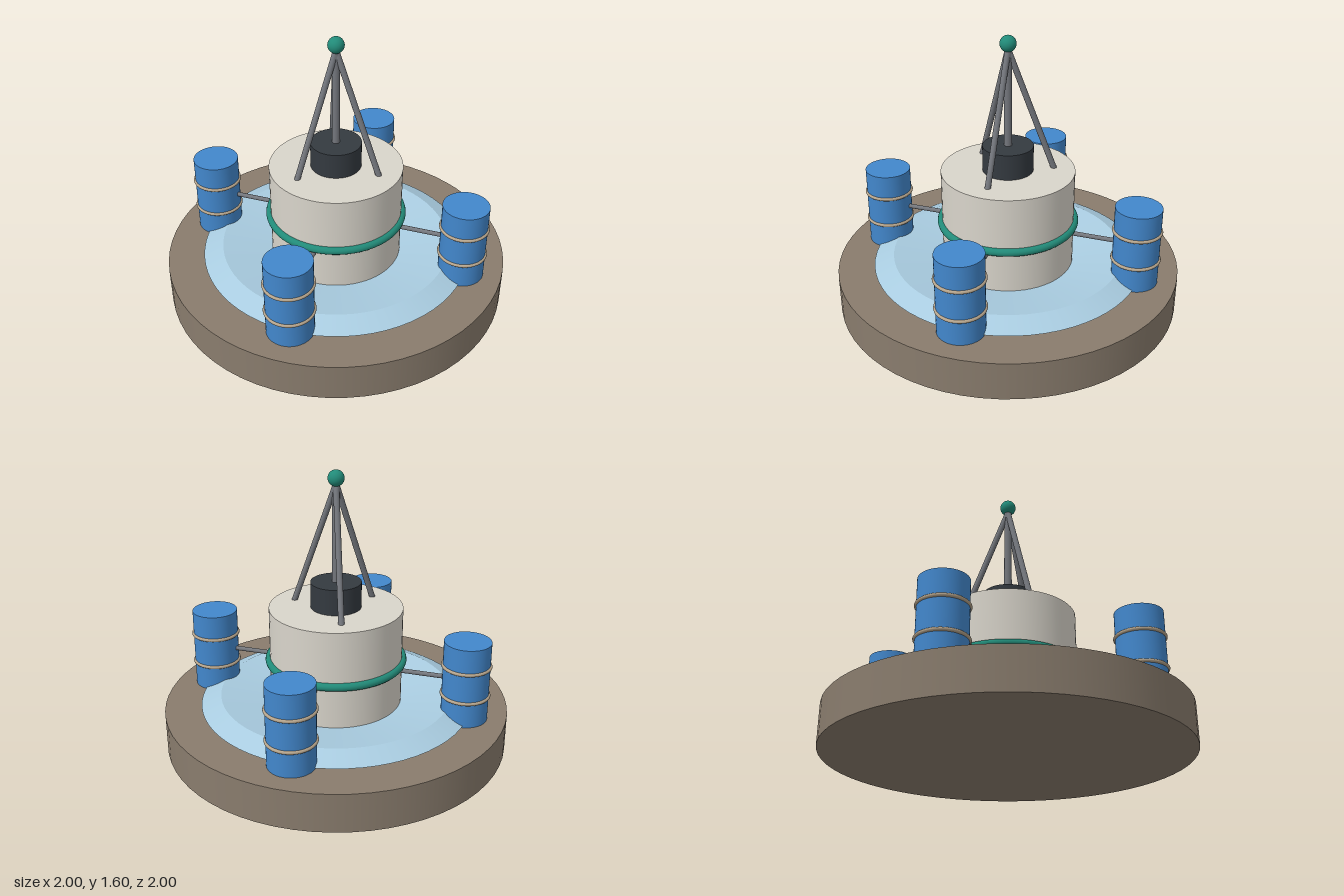
import * as THREE from 'three';

export function createModel() {
  const model = new THREE.Group();
  const mat = (name, color, extra = {}) =>
    Object.assign(new THREE.MeshStandardMaterial({ color, ...extra }), { name });
  const stone = mat('stone brown', 0x897c6d);
  const water = mat('pale blue', 0xa9cce0, { side: THREE.DoubleSide });
  const ivory = mat('ivory', 0xd9d5cb);
  const blue = mat('barrel blue', 0x4287cc);
  const tan = mat('hoop tan', 0xb5a48c);
  const teal = mat('teal', 0x228b79);
  const steel = mat('steel grey', 0x74777d);
  const dark = mat('charcoal', 0x343a40);

  const add = (name, geometry, material, parent = model) => {
    const mesh = new THREE.Mesh(geometry, material);
    mesh.name = name;
    parent.add(mesh);
    return mesh;
  };
  // Upright cylinder between two heights
  const drum = (name, r, y0, y1, material, parent, sides = 64) => {
    const m = add(name, new THREE.CylinderGeometry(r, r, y1 - y0, sides), material, parent);
    m.position.y = (y0 + y1) / 2;
    return m;
  };
  // Horizontal ring
  const ring = (name, r, tube, y, material, parent) => {
    const m = add(name, new THREE.TorusGeometry(r, tube, 12, 64), material, parent);
    m.rotation.x = Math.PI / 2;
    m.position.y = y;
    return m;
  };
  // Round rod between two points
  const rod = (name, a, b, r, parent) => {
    const d = b.clone().sub(a);
    const m = add(name, new THREE.CylinderGeometry(r, r, d.length(), 16), steel, parent);
    m.position.copy(a).addScaledVector(d, 0.5);
    m.quaternion.setFromUnitVectors(new THREE.Vector3(0, 1, 0), d.normalize());
    return m;
  };
  const v = (x, y, z) => new THREE.Vector3(x, y, z);

  // Base and shallow dish: each slope is its own lathe so the rim stays sharp
  drum('base', 1, 0, 0.225, stone);
  const slope = (name, r0, y0, r1, y1) => add(name, new THREE.LatheGeometry(
    [new THREE.Vector2(r0, y0), new THREE.Vector2(r1, y1)], 64), water);
  slope('dishOuterSlope', 0.79, 0.235, 0.675, 0.285);
  slope('dishInnerSlope', 0.675, 0.285, 0.36, 0.234);

  // Central body
  drum('body', 0.383, 0.225, 0.81, ivory);
  ring('bodyRing', 0.387, 0.023, 0.492, teal);
  drum('hub', 0.145, 0.81, 0.96, dark);

  // Mast, tripod legs and top ball
  rod('mast', v(0, 0.95, 0), v(0, 1.55, 0), 0.022);
  for (let i = 0; i < 3; i++) {
    const a = THREE.MathUtils.degToRad(-17 + i * 120);
    rod('tripodLeg', v(0.265 * Math.cos(a), 0.8, 0.265 * Math.sin(a)), v(0, 1.52, 0), 0.017);
  }
  const ball = add('topBall', new THREE.SphereGeometry(0.046, 32, 20), teal);
  ball.position.y = 1.552;

  // Four barrels with hoops, each tied to the body by a spoke
  for (let i = 0; i < 4; i++) {
    const arm = new THREE.Group();
    arm.name = 'barrelArm';
    arm.rotation.y = Math.atan2(0.3, 0.7) + i * Math.PI / 2;
    model.add(arm);
    const barrel = new THREE.Group();
    barrel.name = 'barrel';
    barrel.position.x = Math.hypot(0.3, 0.7);
    arm.add(barrel);
    drum('barrelDrum', 0.132, 0.225, 0.695, blue, barrel, 48);
    for (const y of [0.373, 0.55]) ring('barrelHoop', 0.132, 0.01, y, tan, barrel);
    rod('spoke', v(0.36, 0.46, 0), v(0.66, 0.46, 0), 0.013, arm);
  }
  return model;
}
